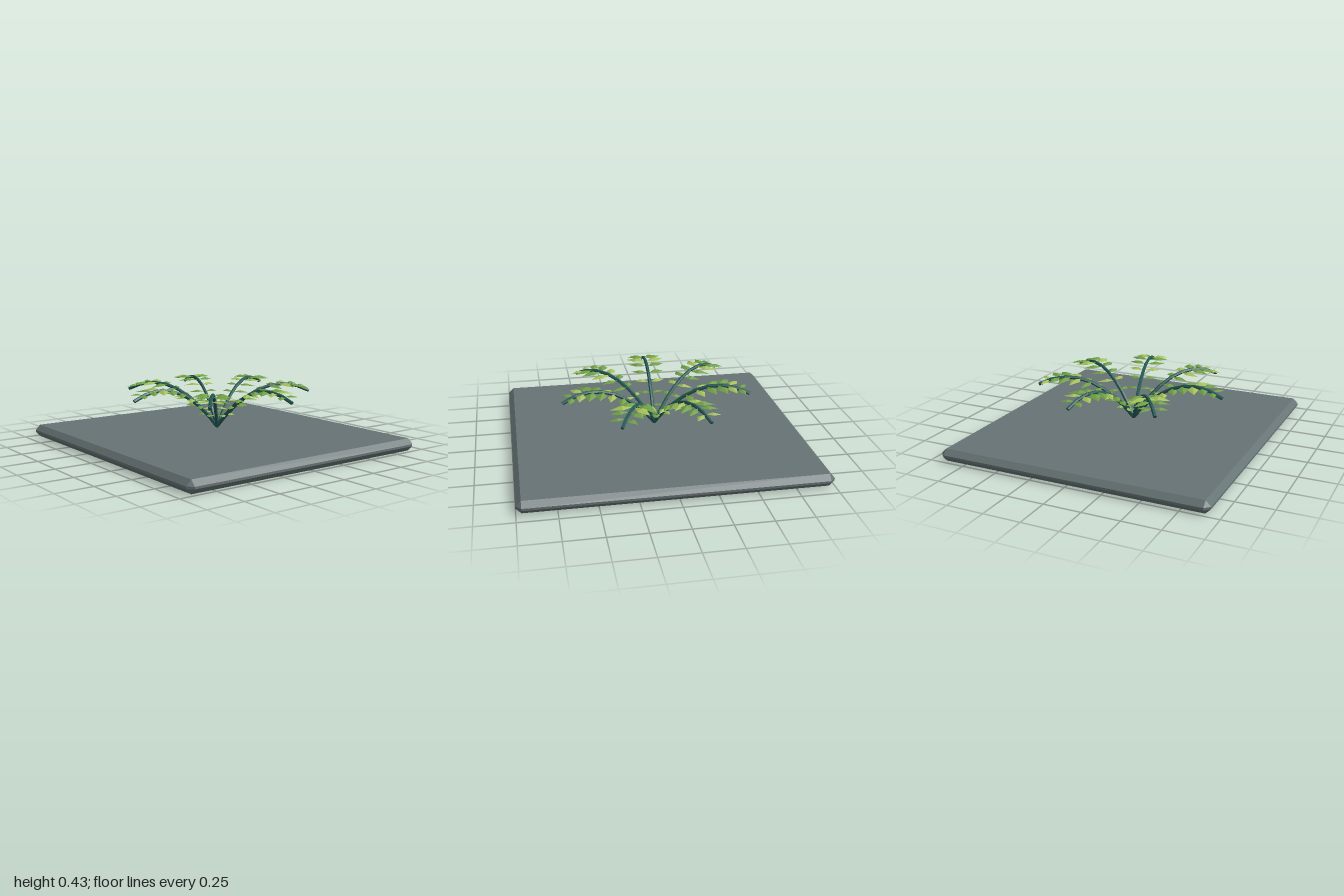
import * as THREE from 'three';
import { ConvexGeometry } from 'three/addons/geometries/ConvexGeometry.js';

const V = (x, y, z) => new THREE.Vector3(x, y, z);
const mat = (name, color, opts = {}) => {
  const m = new THREE.MeshStandardMaterial({ color, flatShading: true, ...opts });
  m.name = name;
  return m;
};

// Box with 45 degree chamfers on every edge and corner, standing on y = 0
function chamferedBox(w, h, d, c) {
  const pts = [];
  for (const sx of [-1, 1]) for (const sy of [-1, 1]) for (const sz of [-1, 1]) {
    const x = w / 2, y = h / 2, z = d / 2;
    pts.push(V(sx * x, y + sy * (y - c), sz * (z - c)));
    pts.push(V(sx * (x - c), y + sy * y, sz * (z - c)));
    pts.push(V(sx * (x - c), y + sy * (y - c), sz * z));
  }
  return new ConvexGeometry(pts);
}

export function createModel() {
  const stone = mat('slate grey', 0x667374);
  const stemMat = mat('dark teal', 0x245a54);
  const green = mat('leaf green', 0x6f9f45);
  const lightGreen = mat('light leaf green', 0xa3bf5a);

  const model = new THREE.Group();
  model.name = 'fernOnSlab';

  const slab = new THREE.Mesh(chamferedBox(2, 0.085, 1.865, 0.035), stone);
  slab.name = 'slab';
  model.add(slab);

  // Arching stem, running outwards along +z
  const curve = new THREE.QuadraticBezierCurve3(V(0, 0.12, 0), V(0, 0.54, 0.33), V(0, 0.36, 0.66));
  const stemGeo = new THREE.TubeGeometry(curve, 8, 0.012, 6);
  const capGeo = new THREE.CircleGeometry(0.012, 6);

  // Ridged kite-shaped leaflet of unit length, pointing along +x
  const leafGeo = new ConvexGeometry([
    V(0, 0, 0), V(1, -0.06, 0), V(0.45, 0, 0.26), V(0.45, 0, -0.26),
    V(0.45, 0.1, 0), V(0.45, -0.04, 0),
  ]);
  const lengths = [0.07, 0.095, 0.115, 0.125, 0.14, 0.148, 0.125, 0.1];

  for (let k = 0; k < 7; k++) {
    const frond = new THREE.Group();
    frond.name = `frond${k + 1}`;
    frond.rotation.y = -0.035 + (k * Math.PI * 2) / 7;

    const stem = new THREE.Mesh(stemGeo, stemMat);
    stem.name = 'stem';
    frond.add(stem);

    // Caps closing both stem ends
    for (const t of [0, 1]) {
      const cap = new THREE.Mesh(capGeo, stemMat);
      cap.name = 'stemCap';
      cap.position.copy(curve.getPoint(t));
      const dir = curve.getTangent(t).multiplyScalar(t ? 1 : -1);
      cap.quaternion.setFromUnitVectors(V(0, 0, 1), dir);
      frond.add(cap);
    }

    // Leaflet pairs, level and swept towards the tip
    lengths.forEach((len, i) => {
      const p = curve.getPoint(0.12 + i * 0.11);
      for (const side of [1, -1]) {
        const leaf = new THREE.Mesh(leafGeo, (i + k) % 3 === 2 ? lightGreen : green);
        leaf.name = 'leaflet';
        leaf.position.set(side * 0.008, p.y, p.z);
        leaf.rotation.y = side > 0 ? -0.5 : Math.PI + 0.5;
        leaf.scale.setScalar(len);
        frond.add(leaf);
      }
    });
    model.add(frond);
  }
  return model;
}
